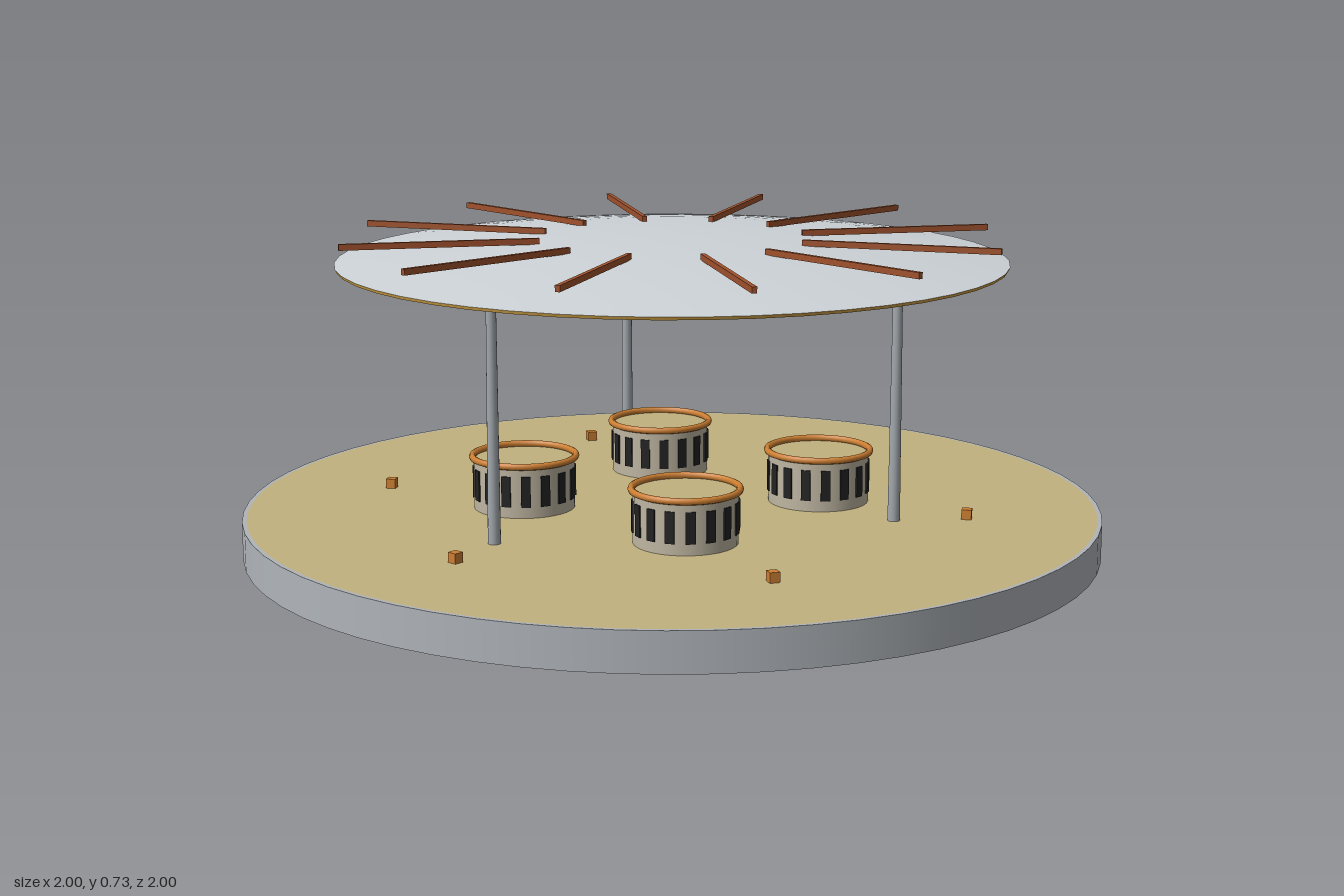
import * as THREE from 'three';

const mat = (name, color, side = THREE.FrontSide) => {
  const m = new THREE.MeshStandardMaterial({ color, side });
  m.name = name;
  return m;
};

export function createModel() {
  const sand = mat('sand', 0xc2b280, THREE.DoubleSide);
  const steel = mat('steel', 0xb0b5ba, THREE.DoubleSide);
  const roofGrey = mat('pale roof grey', 0xcdd3d7);
  const postGrey = mat('post grey', 0xa3a9ae);
  const ochre = mat('ochre', 0xcfa045);
  const brown = mat('rib brown', 0xa0522d);
  const copper = mat('copper', 0xcd7f32);
  const drumBeige = mat('drum beige', 0xbfb6a2);
  const black = mat('slot black', 0x222222);

  const model = new THREE.Group();
  const add = (parent, name, geo, material, x = 0, y = 0, z = 0) => {
    const mesh = new THREE.Mesh(geo, material);
    mesh.name = name;
    mesh.position.set(x, y, z);
    parent.add(mesh);
    return mesh;
  };
  // n copies of a part around the vertical axis, first at angle start (x towards z)
  const around = (n, radius, start, fn) => {
    for (let i = 0; i < n; i++) {
      const a = start + (i / n) * Math.PI * 2;
      fn(radius * Math.cos(a), radius * Math.sin(a), a);
    }
  };

  // Base: open wall with a sand floor on top
  add(model, 'baseWall', new THREE.CylinderGeometry(1, 1, 0.09, 64, 1, true), steel, 0, 0.045, 0);
  add(model, 'baseRim', new THREE.RingGeometry(0.99, 1, 64).rotateX(-Math.PI / 2), steel, 0, 0.09, 0);
  add(model, 'floor', new THREE.CircleGeometry(0.99, 64).rotateX(-Math.PI / 2), sand, 0, 0.09, 0);

  // Shallow domed roof over an ochre ceiling
  const dome = [];
  for (let i = 0; i <= 10; i++) {
    const r = 1 - i / 10;
    dome.push(new THREE.Vector2(0.775 * r, 0.672 + 0.053 * (1 - r * r)));
  }
  add(model, 'roof', new THREE.LatheGeometry(dome, 48), roofGrey);
  add(model, 'ceiling', new THREE.CylinderGeometry(0.774, 0.772, 0.007, 48), ochre, 0, 0.6685, 0);

  // Radial roof ribs
  const ribGeo = new THREE.BoxGeometry(0.455, 0.014, 0.011);
  around(12, 0.538, 0, (x, z, a) => {
    add(model, 'roofRib', ribGeo, brown, x, 0.722, z).rotation.y = -a;
  });

  // Three posts
  const postGeo = new THREE.CylinderGeometry(0.011, 0.0145, 0.58, 16);
  around(3, 0.533, 0, (x, z) => add(model, 'post', postGeo, postGrey, x, 0.38, z));

  // Four drums with dark slots and a copper rim
  const bodyGeo = new THREE.CylinderGeometry(0.118, 0.118, 0.118, 32, 1, true);
  const lidGeo = new THREE.CircleGeometry(0.118, 32).rotateX(-Math.PI / 2);
  const rimGeo = new THREE.TorusGeometry(0.121, 0.008, 8, 40).rotateX(Math.PI / 2);
  const slotGeo = new THREE.BoxGeometry(0.004, 0.072, 0.022);
  around(4, 0.347, Math.PI / 8 - Math.PI / 4 * 2, (x, z) => {
    const drum = new THREE.Group();
    drum.name = 'drum';
    // turned so the ring of drums is slightly off the main axes
    drum.position.set(x, 0.09, -z);
    add(drum, 'drumBody', bodyGeo, drumBeige, 0, 0.059, 0);
    add(drum, 'drumTop', lidGeo, sand, 0, 0.116, 0);
    add(drum, 'drumRim', rimGeo, copper, 0, 0.122, 0);
    around(16, 0.1185, 0, (sx, sz, a) => {
      add(drum, 'drumSlot', slotGeo, black, sx, 0.062, sz).rotation.y = -a;
    });
    model.add(drum);
  });

  // Small copper floor markers
  const markerGeo = new THREE.BoxGeometry(0.023, 0.023, 0.023);
  around(6, 0.693, THREE.MathUtils.degToRad(54.7), (x, z, a) => {
    add(model, 'floorMarker', markerGeo, copper, x, 0.1015, z).rotation.y = -a;
  });

  return model;
}
